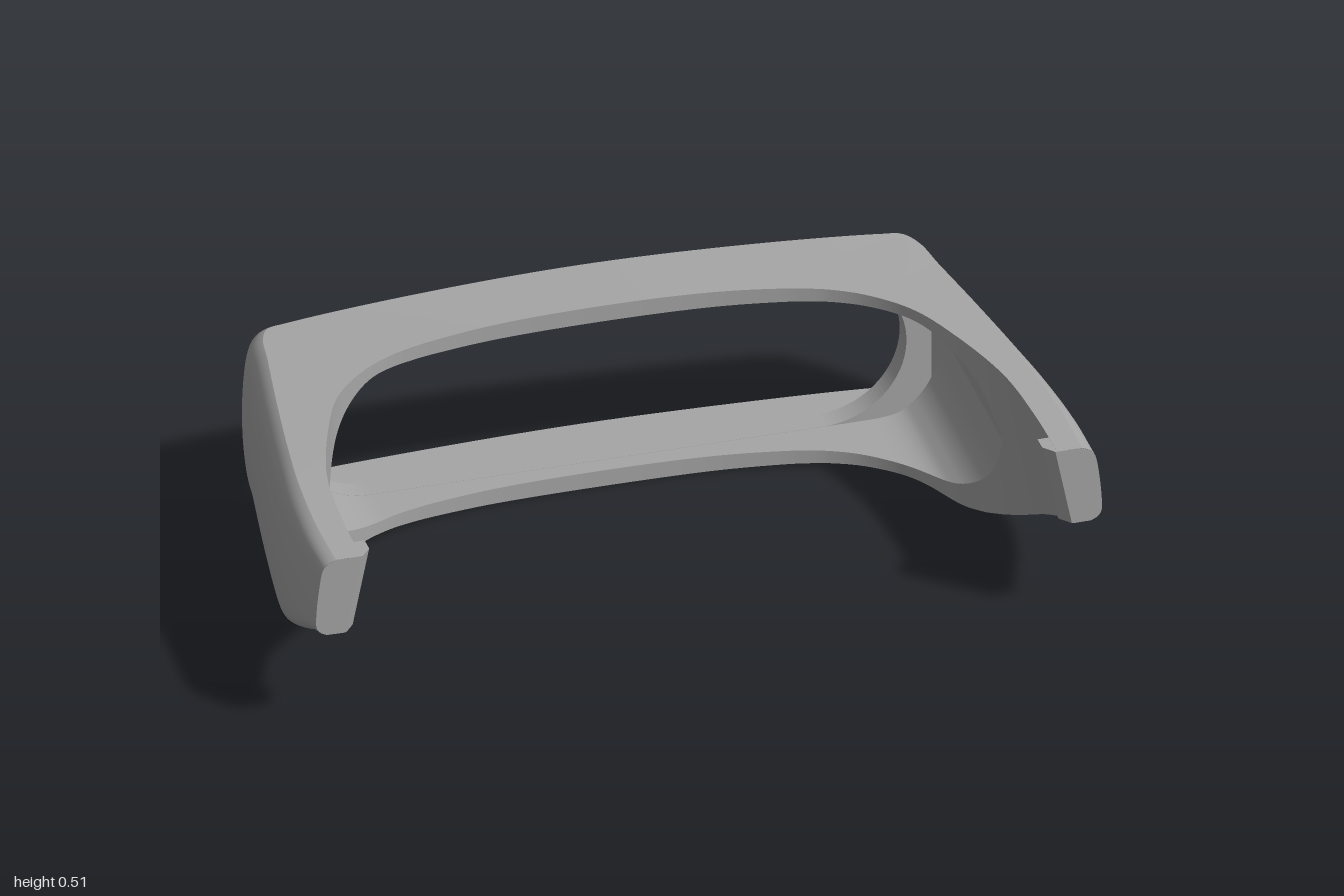
import * as THREE from 'three';

const grey = new THREE.MeshStandardMaterial({ color: 0xa6a6a6, side: THREE.DoubleSide });
grey.name = 'grey plastic';

// Plan of one half: outer x, z and inner x, z, from arm tip to the middle of the back
const HALF = [
  [1, .58, .885, .58], [1, .4, .88, .4], [.985, .2, .86, .2], [.957, 0, .8, 0],
  [.925, -.2, .73, -.15], [.89, -.4, .64, -.24], [.873, -.5, .56, -.285],
  [.848, -.542, .5, -.305], [.8, -.55, .45, -.317], [.5, -.57, .28, -.342], [0, -.585, 0, -.352],
];
const PLAN = [...HALF, ...HALF.slice(0, -1).reverse().map(([a, b, c, d]) => [-a, b, -c, d])];
const N = 240;
const planCurve = (k) => {
  const c = new THREE.CatmullRomCurve3(PLAN.map((p) => new THREE.Vector3(p[k], 0, p[k + 1])));
  return Array.from({ length: N + 1 }, (_, i) => c.getPoint(i / N));
};
const OUT = planCurve(0), INN = planCurve(2);

// Height rules: crowned top, and a bottom that sweeps up along the arms
const UNDER = [[-.05, .031], [.03, .034], [.08, .042], [.13, .058], [.18, .08], [.48, .243], [.53, .267], [.58, .285]];
const crown = (x) => .025 * (1 - Math.min(1, x * x / .8));
const topY = (p) => .495 + crown(p.x);
function botY(p) {
  let y = UNDER[0][1];
  for (let k = 1; k < UNDER.length; k++) {
    const [z0, y0] = UNDER[k - 1], [z1, y1] = UNDER[k];
    if (p.z > z0) y = y0 + (y1 - y0) * Math.min(1, (p.z - z0) / (z1 - z0));
  }
  return y - crown(p.x);
}

const MID = .2625, R = .2125, FLAT = .575, PLATE_BACK = -.46, PLATE_FRONT = -.4;
const WIN_TOP = MID + R, WIN_BOT = MID - R, WIN_X = .843;

// Half height of the opening in the inner wall: round on one side, squarer pocket on the other
function holeHalf(x) {
  if (x > 0) {
    const e = Math.max(0, (x - .6) / .245);
    return e >= 1 ? 0 : R * Math.pow(1 - Math.pow(e, 6), .45);
  }
  const d = Math.max(0, -x - FLAT);
  return d >= R ? 0 : Math.sqrt(R * R - d * d);
}

// Point on the outer wall: bulged sides with rounded upper and lower edges
function outerPt(i, y) {
  const p = OUT[i], t = topY(p), b = botY(p);
  const round = .03 * Math.pow(Math.abs((2 * y - t - b) / (t - b)), 10);
  const bulge = .025 * ((y - .28) / .23) ** 2;
  return new THREE.Vector3(p.x * (1 - bulge - round), y, p.z < 0 ? p.z * (1 - 1.8 * round) : p.z);
}

// Point on the inner wall, which leans outward toward the bottom of the arms
function innerPt(i, y) {
  const p = INN[i], w = THREE.MathUtils.smoothstep(p.z, -.02, .3);
  return new THREE.Vector3(p.x + Math.sign(p.x) * .2 * w * (topY(p) - y), y, p.z);
}

// Grid surface from point(i, j); keep(i) drops columns of quads
function sheet(cols, rows, point, keep = () => true) {
  const pos = [], idx = [];
  for (let i = 0; i <= cols; i++) for (let j = 0; j <= rows; j++) pos.push(...point(i, j / rows).toArray());
  for (let i = 0; i < cols; i++) {
    if (!keep(i)) continue;
    for (let j = 0; j < rows; j++) {
      const a = i * (rows + 1) + j, b = a + rows + 1;
      idx.push(a, a + 1, b, b, a + 1, b + 1);
    }
  }
  const g = new THREE.BufferGeometry();
  g.setAttribute('position', new THREE.Float32BufferAttribute(pos, 3));
  g.setIndex(idx);
  g.computeVertexNormals();
  return g;
}

export function createModel() {
  const group = new THREE.Group();
  const add = (name, geometry) => {
    const m = new THREE.Mesh(geometry, grey);
    m.name = name;
    group.add(m);
  };
  const mix = THREE.MathUtils.lerp;
  const inWindow = (i) => Math.abs(OUT[i].x) <= WIN_X;
  const windowQuad = (i) => inWindow(i) && inWindow(i + 1);
  const lowBand = (i) => Math.max(WIN_BOT, botY(OUT[i]) + .02);

  // Top and bottom bands
  add('topBand', sheet(N, 3, (i, v) => outerPt(i, topY(OUT[i])).lerp(innerPt(i, topY(INN[i])), v)));
  add('bottomBand', sheet(N, 3, (i, v) => innerPt(i, botY(INN[i])).lerp(outerPt(i, botY(OUT[i])), v)));

  // Outer wall: one smooth skin on each side, two lips across the back
  const first = OUT.findIndex((_, i) => inWindow(i)), last = N - first;
  for (const [name, from, to] of [['leftOuterWall', 0, first], ['rightOuterWall', last, N]]) {
    add(name, sheet(to - from, 40, (i, v) => {
      const k = i + from, u = Math.sin((v - .5) * Math.PI);
      return outerPt(k, mix(topY(OUT[k]), botY(OUT[k]), (u + 1) / 2));
    }));
  }
  add('upperBackLip', sheet(N, 10, (i, v) => outerPt(i, mix(topY(OUT[i]), WIN_TOP, v)), windowQuad));
  add('lowerBackLip', sheet(N, 10, (i, v) => outerPt(i, mix(lowBand(i), botY(OUT[i]), v)), windowQuad));

  // Rectangular recess behind the lips
  for (const [name, y] of [['recessTop', WIN_TOP], ['recessBottom', WIN_BOT]]) {
    add(name, sheet(N, 1, (i, v) => {
      const p = outerPt(i, y);
      p.z = mix(p.z, PLATE_BACK, v);
      return p;
    }, windowQuad));
  }
  for (const [name, k] of [['leftRecessEnd', first], ['rightRecessEnd', last]]) {
    add(name, sheet(12, 1, (i, v) => {
      const p = outerPt(k, mix(WIN_TOP, WIN_BOT, i / 12));
      p.z = mix(p.z, PLATE_BACK, v);
      return p;
    }));
  }

  // Plate with the stadium window
  const plate = new THREE.Shape([[-.85, .045], [.85, .045], [.85, .48], [-.85, .48]].map((p) => new THREE.Vector2(...p)));
  const hole = new THREE.Path();
  hole.absarc(FLAT, MID, R - .001, -Math.PI / 2, Math.PI / 2);
  hole.absarc(-FLAT, MID, R - .001, Math.PI / 2, Math.PI * 1.5);
  plate.holes.push(hole);
  const plateGeo = new THREE.ExtrudeGeometry(plate, { depth: PLATE_FRONT - PLATE_BACK, bevelEnabled: false, curveSegments: 32 });
  add('windowPlate', plateGeo.translate(0, 0, PLATE_BACK));

  // Inner wall above and below the opening, and the tunnel running back to the plate
  const half = (i) => holeHalf(INN[i].x);
  const centre = (i) => (topY(INN[i]) + botY(INN[i])) / 2;
  const tunnelQuad = (i) => half(i) > 0 || half(i + 1) > 0;
  for (const s of [1, -1]) {
    const edge = (i) => centre(i) + s * half(i);
    const side = s > 0 ? 'upper' : 'lower';
    add(side + 'InnerWall', sheet(N, 8, (i, v) => innerPt(i, mix(s > 0 ? topY(INN[i]) : botY(INN[i]), edge(i), v))));
    add(side + 'Tunnel', sheet(N, 2, (i, v) => {
      const p = innerPt(i, edge(i));
      p.z = mix(p.z, PLATE_FRONT, v);
      return p;
    }, tunnelQuad));
  }

  // Arm tips: flat end caps and inward hooks with a chamfered corner
  const HOOK = [[.03, .51], [-.03, .51], [-.03, .55], [-.005, .58], [.03, .58], [.03, .51]];
  for (const [side, k, s] of [['left', 0, 1], ['right', N, -1]]) {
    const t = topY(OUT[k]), b = botY(OUT[k]);
    add(side + 'TipCap', sheet(24, 1, (i, v) => {
      const y = mix(t, b, i / 24);
      return outerPt(k, y).lerp(innerPt(k, y), v);
    }));
    const hookPt = (y, [dx, z]) => new THREE.Vector3(innerPt(k, y).x + s * dx, y, z);
    for (let e = 0; e < HOOK.length - 1; e++) {
      add(side + 'Hook', sheet(8, 1, (i, v) => hookPt(mix(t, b, i / 8), HOOK[e + v])));
    }
    for (const y of [t, b]) {
      add(side + 'HookEnd', sheet(4, 1, (i, v) => hookPt(y, HOOK[i]).lerp(hookPt(y, [.03, .545]), v)));
    }
  }
  return group;
}
